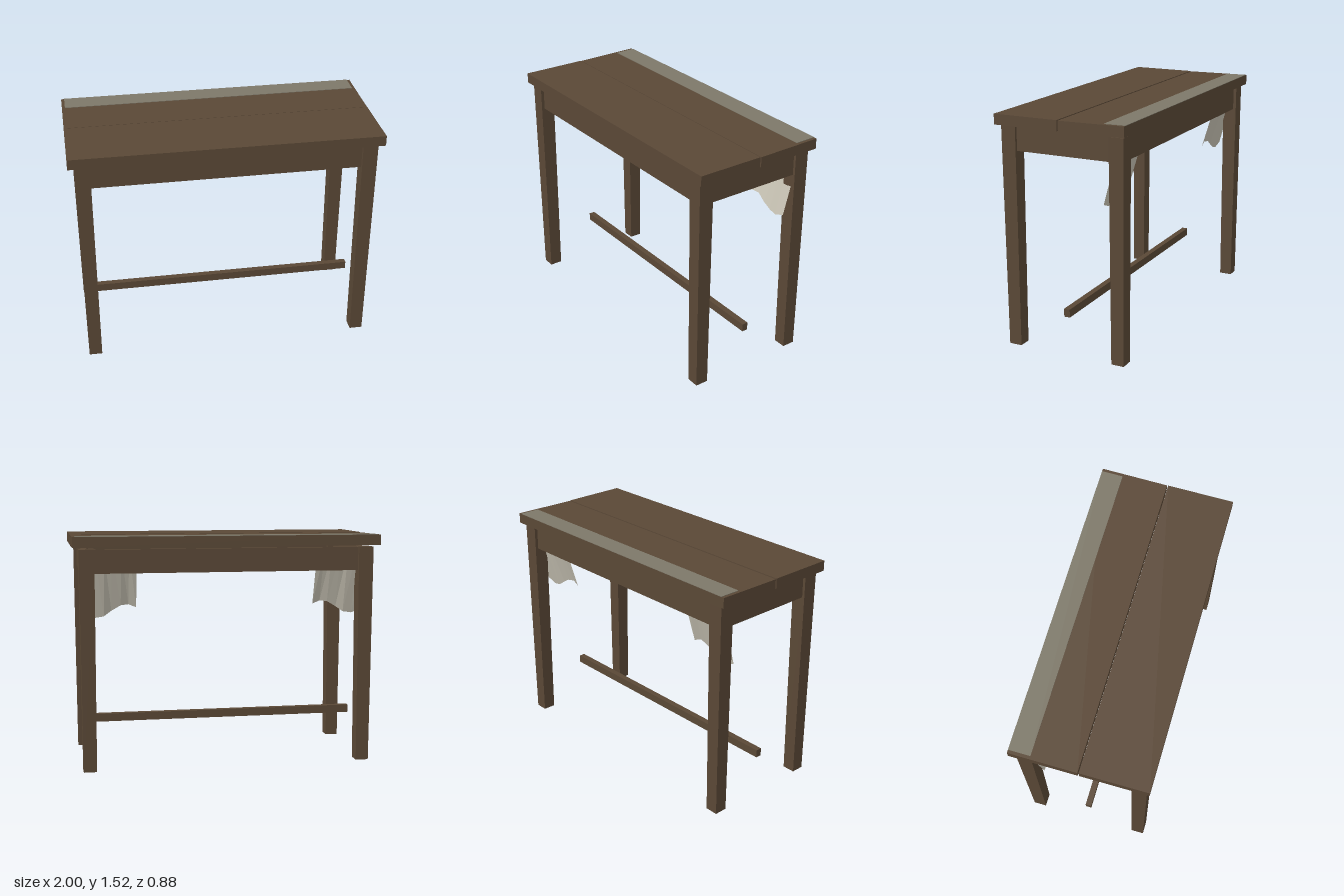
import * as THREE from 'three';

const wood = new THREE.MeshStandardMaterial({ color: 0x5a4836, flatShading: true });
const runnerMat = new THREE.MeshStandardMaterial({ color: 0x7d7869 });
const clothMat = new THREE.MeshStandardMaterial({ color: 0xc8c3b4, flatShading: true, side: THREE.DoubleSide });

function box(name, w, h, d, x, y, z, material = wood) {
  const mesh = new THREE.Mesh(new THREE.BoxGeometry(w, h, d), material);
  mesh.name = name;
  mesh.position.set(x, y, z);
  return mesh;
}

// Square leg, slightly narrower at the foot
function leg(name, sx, sz) {
  const mesh = box(name, 0.098, 1.435, 0.098, sx * 0.911, 0.7175, sz * 0.367);
  const p = mesh.geometry.attributes.position;
  for (let i = 0; i < p.count; i++) {
    if (p.getY(i) < 0) {
      p.setX(i, p.getX(i) * 0.87);
      p.setZ(i, p.getZ(i) * 0.87);
    }
  }
  return mesh;
}

// Torn hanging cloth: straight folds from the rear apron down to a ragged hem
function cloth(name, side) {
  // distance from the centre, hem height, fold depth
  const hem = [
    [0.59, 1.05, 0], [0.64, 1.07, 0.005], [0.69, 1.065, -0.004],
    [0.75, 1.03, 0.004], [0.80, 0.995, -0.003], [0.86, 0.985, 0.003], [0.93, 1.01, 0],
  ];
  const geo = new THREE.PlaneGeometry(1, 1, hem.length - 1, 1);
  const p = geo.attributes.position;
  hem.forEach(([x, y, fold], i) => {
    p.setXYZ(i, side * x, 1.42, -0.38);
    p.setXYZ(i + hem.length, side * x, y, -0.268 + fold);
  });
  geo.computeVertexNormals();
  const mesh = new THREE.Mesh(geo, clothMat);
  mesh.name = name;
  return mesh;
}

export function createModel() {
  const model = new THREE.Group();
  model.name = 'table';

  // Two-plank top, the rear plank slightly warped upward
  model.add(box('frontPlank', 2, 0.067, 0.436, 0, 1.478, 0.222));
  const rear = box('rearPlank', 2, 0.067, 0.436, 0, 1.4785, -0.222);
  rear.rotation.x = 0.012;
  rear.add(box('runner', 1.96, 0.003, 0.14, 0, 0.035, -0.148, runnerMat));
  model.add(rear);

  // Legs and aprons
  for (const sx of [-1, 1]) {
    const s = sx > 0 ? 'left' : 'right';
    model.add(leg(s + 'FrontLeg', sx, 1), leg(s + 'RearLeg', sx, -1));
    model.add(box(s + 'Apron', 0.04, 0.152, 0.68, sx * 0.922, 1.357, 0));
    model.add(cloth(s + 'Cloth', sx));
  }
  model.add(box('frontApron', 1.76, 0.152, 0.04, 0, 1.357, 0.375));
  model.add(box('rearApron', 1.76, 0.152, 0.04, 0, 1.357, -0.375));

  // Central foot rail
  model.add(box('footRail', 1.85, 0.053, 0.04, 0, 0.27, 0));
  return model;
}
